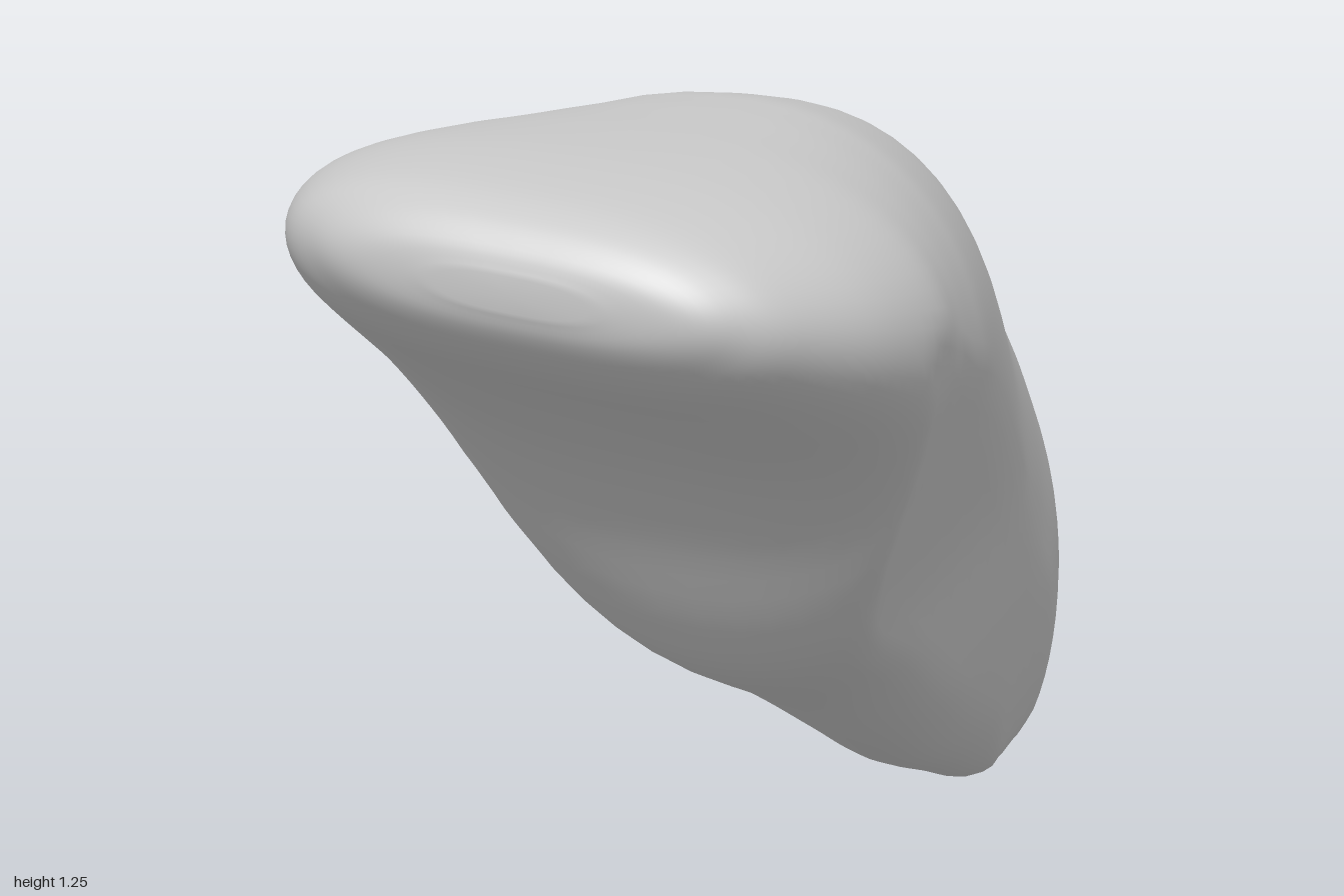
import * as THREE from 'three';

// Cross-sections along the tooth, biting edge to root tip: z, min x, max x, bottom y, top y
const SECTIONS = [
  [1.0, -0.08, 0.08, 1.13, 1.165],
  [0.99, -0.17, 0.17, 1.105, 1.19],
  [0.965, -0.225, 0.22, 1.075, 1.215],
  [0.92, -0.275, 0.265, 1.04, 1.232],
  [0.82, -0.32, 0.315, 0.98, 1.243],
  [0.7, -0.335, 0.335, 0.89, 1.245],
  [0.6, -0.33, 0.325, 0.78, 1.243],
  [0.5, -0.315, 0.312, 0.64, 1.24],
  [0.4, -0.3, 0.295, 0.545, 1.23],
  [0.2, -0.255, 0.25, 0.44, 1.18],
  [0, -0.212, 0.207, 0.32, 1.09],
  [-0.2, -0.207, 0.167, 0.21, 0.96],
  [-0.4, -0.195, 0.135, 0.12, 0.83],
  [-0.6, -0.175, 0.105, 0.035, 0.66],
  [-0.8, -0.17, 0.05, 0.005, 0.47],
  [-0.9, -0.155, 0.0, 0.04, 0.34],
  [-0.97, -0.135, -0.05, 0.085, 0.225],
  [-1.0, -0.115, -0.095, 0.13, 0.155],
];

// Width limits by height, narrowing the underside: y, min x, max x
const LIMITS = [
  [0, -0.11, -0.065], [0.05, -0.14, 0.01], [0.1, -0.157, 0.04], [0.2, -0.172, 0.075],
  [0.3, -0.176, 0.1], [0.4, -0.19, 0.125], [0.5, -0.2, 0.143], [0.6, -0.207, 0.16],
  [0.7, -0.222, 0.195], [0.8, -0.255, 0.237], [0.9, -0.288, 0.28], [1.0, -0.315, 0.32],
  [1.1, -0.336, 0.336],
];

function limitsAt(y) {
  let i = 0;
  while (i < LIMITS.length - 2 && LIMITS[i + 1][0] < y) i++;
  const [a, b] = [LIMITS[i], LIMITS[i + 1]];
  const t = THREE.MathUtils.clamp((y - a[0]) / (b[0] - a[0]), 0, 1);
  return [a[1] + (b[1] - a[1]) * t, a[2] + (b[2] - a[2]) * t];
}

// Smooth loft through the sections, using rounded egg-shaped rings
function toothGeometry(steps = 5, sides = 56) {
  const curve = (p, q) => new THREE.CatmullRomCurve3(
    SECTIONS.map((s) => new THREE.Vector3(s[0], s[p], s[q])), false, 'catmullrom', 0.5);
  const widths = curve(1, 2);
  const heights = curve(3, 4);
  const rings = (SECTIONS.length - 1) * steps;
  const pos = [];
  const index = [];
  const { smoothstep, lerp } = THREE.MathUtils;

  for (let i = 0; i <= rings; i++) {
    const { x: z, y: left, z: right } = widths.getPoint(i / rings);
    const { y: low, z: high } = heights.getPoint(i / rings);
    const crown = smoothstep(z, 0.35, 0.9);
    const midX = (left + right) / 2;
    const midY = lerp(low, high, lerp(0.58, 0.5, crown));
    for (let j = 0; j < sides; j++) {
      const a = (j / sides) * Math.PI * 2;
      const c = Math.cos(a);
      const s = Math.sin(a);
      const power = lerp(s < 0 ? 0.95 : 0.88, 0.68, crown);
      const cx = Math.sign(c) * Math.abs(c) ** power;
      let y = midY + s * (s > 0 ? high - midY : midY - low);
      let x = midX + cx * (right - left) / 2;
      const [minX, maxX] = limitsAt(y);
      x = Math.min(Math.max(x, minX), maxX);
      // the biting edge slopes down towards the left
      y -= 0.11 * x * crown;
      pos.push(x, y, z);
    }
  }
  for (let i = 0; i < rings; i++) {
    for (let j = 0; j < sides; j++) {
      const k = (j + 1) % sides;
      const a = i * sides + j;
      const b = i * sides + k;
      index.push(a, a + sides, b, b, a + sides, b + sides);
    }
  }
  // Close both ends
  const front = pos.length / 3;
  const last = rings * sides;
  pos.push(0, 1.147, 1.0, -0.105, 0.142, -1.0);
  for (let j = 0; j < sides; j++) {
    const k = (j + 1) % sides;
    index.push(front, j, k, front + 1, last + k, last + j);
  }
  const geometry = new THREE.BufferGeometry();
  geometry.setAttribute('position', new THREE.Float32BufferAttribute(pos, 3));
  geometry.setIndex(index);
  geometry.computeVertexNormals();
  return geometry;
}

export function createModel() {
  const enamel = new THREE.MeshStandardMaterial({ color: 0xc8c8c8 });
  enamel.name = 'pale grey enamel';
  const tooth = new THREE.Mesh(toothGeometry(), enamel);
  tooth.name = 'incisorTooth';
  const group = new THREE.Group();
  group.name = 'tooth';
  group.add(tooth);
  return group;
}
